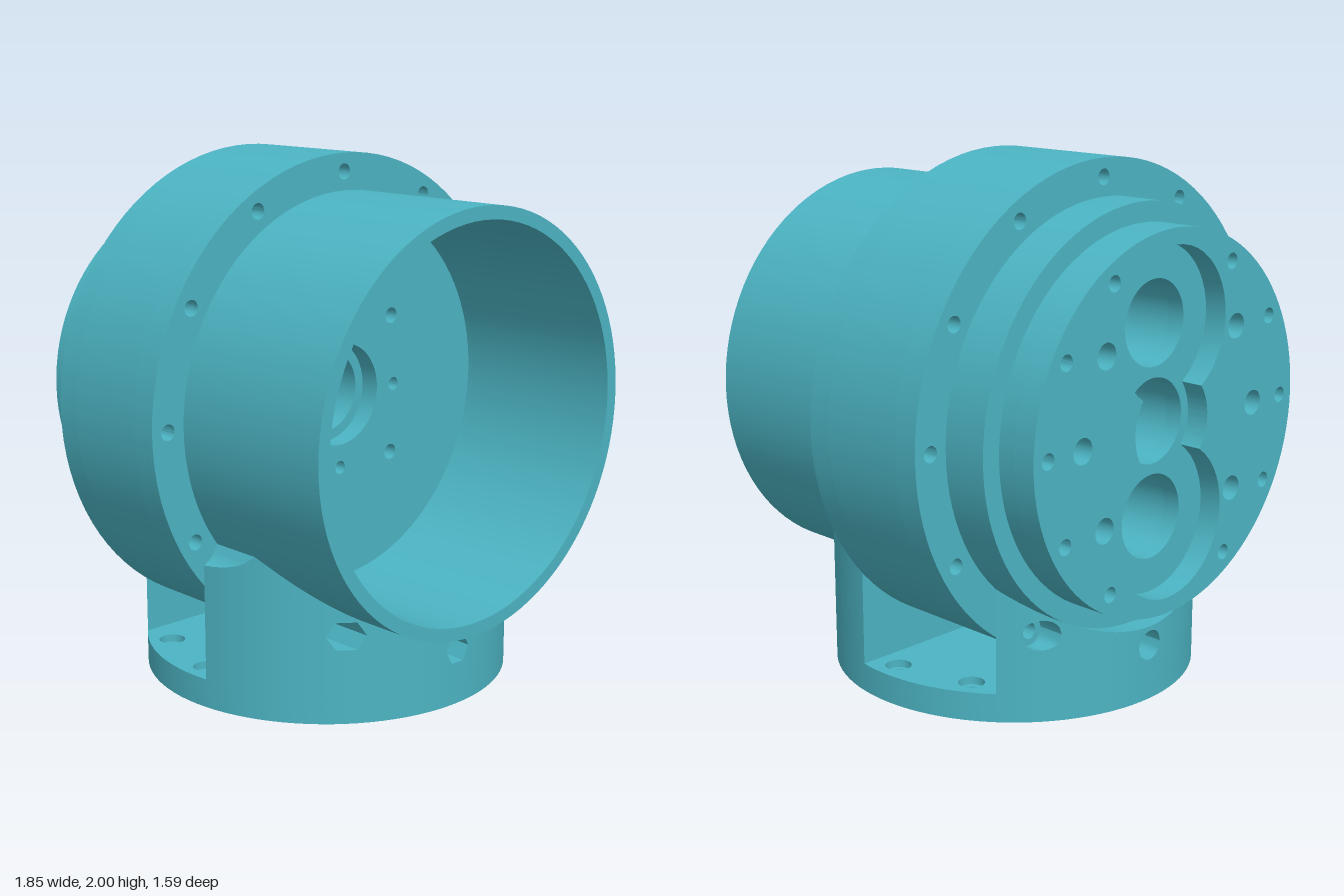
import * as THREE from 'three';
import { toCreasedNormals, mergeGeometries } from 'three/addons/utils/BufferGeometryUtils.js';

const AXIS = 1.075;   // height of the barrel axis
const BODY = 0.785;   // barrel radius
const BASE = 0.71;    // pedestal radius
const FLOOR = 0.11;   // top of the base plate

// Ring of points, as [x, y, radius, sides]
const ring = ([x, y, r, n = 24]) => Array.from({ length: n }, (_, i) => {
  const a = (i / n) * Math.PI * 2;
  return new THREE.Vector2(x + r * Math.cos(a), y + r * Math.sin(a));
});
const disc = (r) => ring([0, 0, r, 96]);
const boltCircle = (radius, r, angles) => angles.map((d) => {
  const a = THREE.MathUtils.degToRad(d);
  return [radius * Math.cos(a), radius * Math.sin(a), r, 20];
});
const every30 = Array.from({ length: 12 }, (_, i) => i * 30);

// Plate with holes between two z positions
function plate(outline, holes, z0, z1) {
  const shape = new THREE.Shape(outline);
  for (const h of holes) shape.holes.push(new THREE.Path(Array.isArray(h) ? ring(h) : h.points));
  const g = new THREE.ExtrudeGeometry(shape, { depth: z1 - z0, bevelEnabled: false });
  g.translate(0, 0, z0);
  return toCreasedNormals(g, 0.5);
}

// Solid made of rectangular slices along x; lo, hi, z0, z1 are functions of x
function loft(xs, lo, hi, z0, z1) {
  const pos = [], idx = [];
  xs.forEach((x, i) => {
    pos.push(x, lo(x), z0(x), x, lo(x), z1(x), x, hi(x), z1(x), x, hi(x), z0(x));
    if (i === 0) return;
    for (let j = 0; j < 4; j++) {
      const k = (j + 1) % 4, p = (i - 1) * 4, q = i * 4;
      idx.push(p + j, q + j, q + k, p + j, q + k, p + k);
    }
  });
  const g = new THREE.BufferGeometry();
  g.setAttribute('position', new THREE.Float32BufferAttribute(pos, 3));
  g.setIndex(idx);
  return toCreasedNormals(g, 0.5);
}

// Saddle height: follows the barrel, capped, with a bolt relief at each side
function saddle(x) {
  const a = Math.abs(x);
  let h = Math.min(0.62, AXIS - Math.sqrt(BODY * BODY - a * a));
  if (a > 0.64) h = Math.min(h, 0.645 - Math.sqrt(0.01 - (a - 0.74) ** 2));
  return h;
}
const rim = (x) => Math.sqrt(Math.max(0, BASE * BASE - x * x));

// Cradle block with three pockets; halfHeight gives the pocket outline
function cradle(xMax, z0, z1, halfHeight) {
  const parts = [], w = 0.06, low = () => FLOOR;
  const pockets = [[-0.43, 0.335], [0, 0.215], [0.43, 0.335]];
  const plain = (a, b) => {
    const t0 = Math.asin(a / BASE), t1 = Math.asin(b / BASE);
    const xs = Array.from({ length: 25 }, (_, i) =>
      (i === 0 ? a : i === 24 ? b : BASE * Math.sin(t0 + ((t1 - t0) * i) / 24)));
    parts.push(loft(xs, low, saddle, z0, z1));
  };
  let from = -xMax;
  for (const [cx, cy] of pockets) {
    plain(from, cx - w);
    const xs = Array.from({ length: 17 }, (_, i) => cx - w + (2 * w * i) / 16);
    parts.push(loft(xs, low, (x) => cy - halfHeight(x - cx), z0, z1));
    parts.push(loft(xs, (x) => cy + halfHeight(x - cx), saddle, z0, z1));
    from = cx + w;
  }
  plain(from, xMax);
  return { geometry: mergeGeometries(parts), pockets };
}

export function createModel() {
  const model = new THREE.Group();
  const teal = new THREE.MeshStandardMaterial({ color: 0x4cb4c3 });
  teal.name = 'teal';
  const add = (name, geometry, parent = model) => {
    const m = new THREE.Mesh(geometry, teal);
    m.name = name;
    parent.add(m);
    return m;
  };

  // Barrel, stacked along z around its own axis
  const barrel = new THREE.Group();
  barrel.name = 'barrel';
  barrel.position.y = AXIS;
  model.add(barrel);

  const bores = [[0, 0, 0.16, 48], [0, 0.36, 0.16, 48], [0, -0.36, 0.16, 48]];
  const flangeBolts = boltCircle(0.855, 0.03, every30);
  const backBolts = [
    ...boltCircle(0.64, 0.03, [0, 30, 60, 120, 150, 180, 210, 240, 300, 330]),
    [0.47, 0, 0.048], [-0.47, 0, 0.048],
    ...[[1, 1], [1, -1], [-1, 1], [-1, -1]].map(([i, j]) => [i * 0.355, j * 0.31, 0.048]),
  ];
  const floorBolts = [
    ...boltCircle(0.29, 0.026, [0, 90, 180, 270]),
    ...boltCircle(0.39, 0.031, [45, 135, 225, 315]),
  ];

  // Outline of three overlapping circles for the rear recess
  const recess = { points: Array.from({ length: 144 }, (_, i) => {
    const yJoin = (0.36 ** 2 + 0.2 ** 2 - 0.29 ** 2) / 0.72;
    const aMid = Math.asin(yJoin / 0.2);
    const aEnd = Math.atan2(yJoin - 0.36, Math.sqrt(0.04 - yJoin * yJoin));
    const side = Math.floor(i / 36), t = (i % 36) / 36;
    const arc = (cx, cy, r, a, b) => {
      const u = a + (b - a) * t;
      return new THREE.Vector2(cx + r * Math.cos(u), cy + r * Math.sin(u));
    };
    if (side === 0) return arc(0, 0, 0.2, -aMid, aMid);
    if (side === 1) return arc(0, 0.36, 0.29, aEnd, Math.PI - aEnd);
    if (side === 2) return arc(0, 0, 0.2, Math.PI - aMid, Math.PI + aMid);
    return arc(0, -0.36, 0.29, Math.PI + aEnd, 2 * Math.PI - aEnd);
  }) };

  add('rearFace', plate(disc(0.71), [recess, ...backBolts], -0.79, -0.7), barrel);
  add('rearBoreStep', plate(disc(0.71), [...bores, ...backBolts], -0.7, -0.63), barrel);
  add('rearCollar', plate(disc(BODY), bores, -0.63, -0.45), barrel);
  add('flangeRear', plate(disc(0.925), [...bores, ...flangeBolts], -0.45, -0.35), barrel);
  add('flangeCore', plate(disc(0.925), bores, -0.35, 0), barrel);
  add('cavityFloor', plate(disc(0.925), [[0, 0, 0.2, 48], ...floorBolts, ...flangeBolts], 0, 0.08), barrel);
  add('flangeFront', plate(disc(0.925), [[0, 0, 0.735, 96], ...flangeBolts], 0.08, 0.1), barrel);
  add('frontSleeve', plate(disc(BODY), [[0, 0, 0.735, 96]], 0.1, 0.795), barrel);

  // Round base plate with counterbored screw holes
  const base = new THREE.Group();
  base.name = 'base';
  model.add(base);
  add('baseBottom', plate(disc(BASE), boltCircle(0.62, 0.028, every30), 0, 0.08), base).rotation.x = -Math.PI / 2;
  add('baseTop', plate(disc(BASE), boltCircle(0.62, 0.05, every30), 0.08, FLOOR), base).rotation.x = -Math.PI / 2;

  // Front cradle with hexagonal nut pockets
  const hex = (d) => Math.max(0, Math.min(0.052, (0.06 - Math.abs(d)) * 1.732));
  const front = cradle(Math.sqrt(BASE ** 2 - 0.01), () => 0.1, rim, hex);
  add('frontCradle', front.geometry, base);

  // Rear cradle with round bolt pockets
  const round = (d) => Math.sqrt(Math.max(0, 0.0036 - d * d)) * 0.95;
  const rear = cradle(Math.sqrt(BASE ** 2 - 0.45 ** 2), (x) => -rim(x), () => -0.45, round);
  add('rearCradle', rear.geometry, base);

  // Pocket floors with the bolt hole
  for (const [x, y] of front.pockets) {
    add('nutSeat', plate(ring([x, y, 0.06, 6]), [[x, y, 0.031]], 0.1, 0.3), base);
    add('boltSeat', plate(ring([x, y, 0.06]), [[x, y, 0.031]], -0.5, -0.45), base);
  }
  return model;
}
